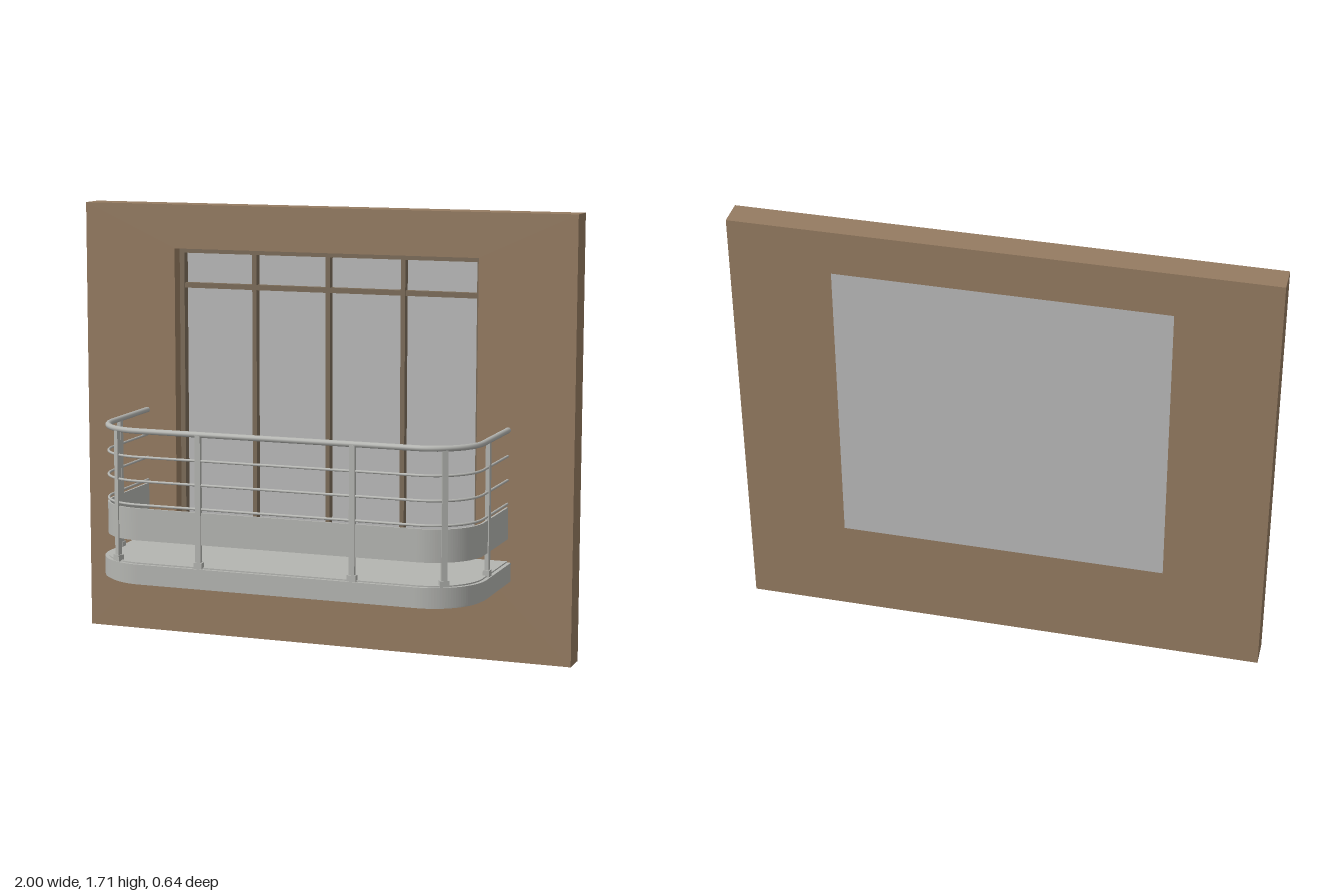
import * as THREE from 'three';

const WALL_FRONT = -0.215, WALL_BACK = -0.32;

const mat = (name, color) => {
  const m = new THREE.MeshStandardMaterial({ color });
  m.name = name;
  return m;
};

// Plan outline (x, z) of a U with rounded front corners, starting and ending at the wall
function uPath(half, front, radius, path = new THREE.Path()) {
  path.moveTo(-half, WALL_FRONT);
  path.lineTo(-half, front - radius);
  path.absarc(-half + radius, front - radius, radius, Math.PI, Math.PI / 2, true);
  path.lineTo(half - radius, front);
  path.absarc(half - radius, front - radius, radius, Math.PI / 2, 0, true);
  path.lineTo(half, WALL_FRONT);
  return path;
}

// Lifts a plan outline to a level curve for tubes
class PlanCurve extends THREE.Curve {
  constructor(path, y) {
    super();
    this.path = path;
    this.y = y;
  }
  getPoint(t, target = new THREE.Vector3()) {
    const p = this.path.getPoint(t);
    return target.set(p.x, this.y, p.y);
  }
}

// Extrudes a plan shape between two heights
function planSolid(shape, y0, y1) {
  const g = new THREE.ExtrudeGeometry(shape, { depth: y1 - y0, bevelEnabled: false, curveSegments: 16 });
  g.rotateX(Math.PI / 2);
  g.translate(0, y1, 0);
  return g;
}

export function createModel() {
  const model = new THREE.Group();
  const wallMat = mat('wall brown', 0x957b61);
  const frameMat = mat('window frame brown', 0x7c6c59);
  const glassMat = mat('pane grey', 0xbababa);
  const metalMat = mat('balcony grey', 0xb4b5b1);

  const add = (name, geometry, material, parent = model) => {
    const mesh = new THREE.Mesh(geometry, material);
    mesh.name = name;
    parent.add(mesh);
    return mesh;
  };
  const group = (name) => {
    const g = new THREE.Group();
    g.name = name;
    model.add(g);
    return g;
  };
  const box = (name, material, x0, x1, y0, y1, z0, z1, parent) => {
    const g = new THREE.BoxGeometry(x1 - x0, y1 - y0, z1 - z0);
    g.translate((x0 + x1) / 2, (y0 + y1) / 2, (z0 + z1) / 2);
    return add(name, g, material, parent);
  };
  const rect = (shape, x, y0, y1) =>
    shape.moveTo(-x, y0).lineTo(x, y0).lineTo(x, y1).lineTo(-x, y1).closePath();

  // Wall with window opening
  const W = 0.62, Y0 = 0.375, Y1 = 1.538;
  const wall = new THREE.Shape();
  rect(wall, 1, 0, 1.71);
  const hole = new THREE.Path();
  rect(hole, W, Y0, Y1);
  wall.holes.push(hole);
  const wallGeo = new THREE.ExtrudeGeometry(wall, { depth: WALL_FRONT - WALL_BACK, bevelEnabled: false });
  wallGeo.translate(0, 0, WALL_BACK);
  add('wall', wallGeo, wallMat);

  // Window: pane flush with the back, frame and glazing bars before it
  const windowGroup = group('window');
  box('pane', glassMat, -W, W, Y0, Y1, WALL_BACK, -0.298, windowGroup);
  const zf = -0.265, zb = -0.298, t = 0.02;
  for (const s of [-1, 1]) {
    const x = s * (W - t / 2);
    box('frameJamb', frameMat, x - t / 2, x + t / 2, Y0, Y1, zb, zf, windowGroup);
  }
  box('frameHead', frameMat, -W + t, W - t, Y1 - t, Y1, zb, zf, windowGroup);
  box('frameSill', frameMat, -W + t, W - t, Y0, Y0 + t, zb, zf, windowGroup);
  for (const x of [-0.305, 0, 0.305])
    box('mullion', frameMat, x - 0.009, x + 0.009, Y0 + t, Y1 - t, zb, zf - 0.003, windowGroup);
  box('transom', frameMat, -W + t, W - t, 1.38, 1.4, zb, zf - 0.005, windowGroup);

  // Balcony slab with slightly inset top and bottom
  const slab = group('balconySlab');
  const outline = (half, front, r) => uPath(half, front, r, new THREE.Shape());
  add('slabEdge', planSolid(outline(0.76, 0.316, 0.21), 0.314, 0.386), metalMat, slab);
  add('slabCore', planSolid(outline(0.745, 0.302, 0.195), 0.306, 0.391), metalMat, slab);

  // Railing: handrail, thin rails and solid band
  const railing = group('railing');
  const H = 0.743, F = 0.297, R = 0.19;
  const tube = (name, y, r) =>
    add(name, new THREE.TubeGeometry(new PlanCurve(uPath(H, F, R), y), 120, r, 10), metalMat, railing);
  tube('handrail', 0.894, 0.011);
  for (const y of [0.612, 0.703, 0.795]) tube('thinRail', y, 0.005);

  const b = 0.004;
  const band = uPath(H + b, F + b, R + b, new THREE.Shape());
  const inner = uPath(H - b, F - b, R - b).getPoints(16).reverse();
  inner.forEach((p) => band.lineTo(p.x, p.y));
  add('railingBand', planSolid(band, 0.476, 0.599), metalMat, railing);

  // Posts with foot blocks, turned to follow the rail
  const post = (x, z, angle) => {
    const g = new THREE.Group();
    g.name = 'post';
    box('postBar', metalMat, -0.011, 0.011, 0.385, 0.892, -0.008, 0.008, g);
    box('postFoot', metalMat, -0.017, 0.017, 0.385, 0.41, -0.012, 0.012, g);
    g.position.set(x, 0, z);
    g.rotation.y = angle;
    railing.add(g);
  };
  const a = Math.PI / 6;
  for (const s of [-1, 1]) {
    post(s * 0.305, F + 0.003, 0);
    post(s * (H - R + R * Math.sin(a)), F - R + R * Math.cos(a), s * a);
    post(s * H, 0.043, Math.PI / 2);
  }
  return model;
}
